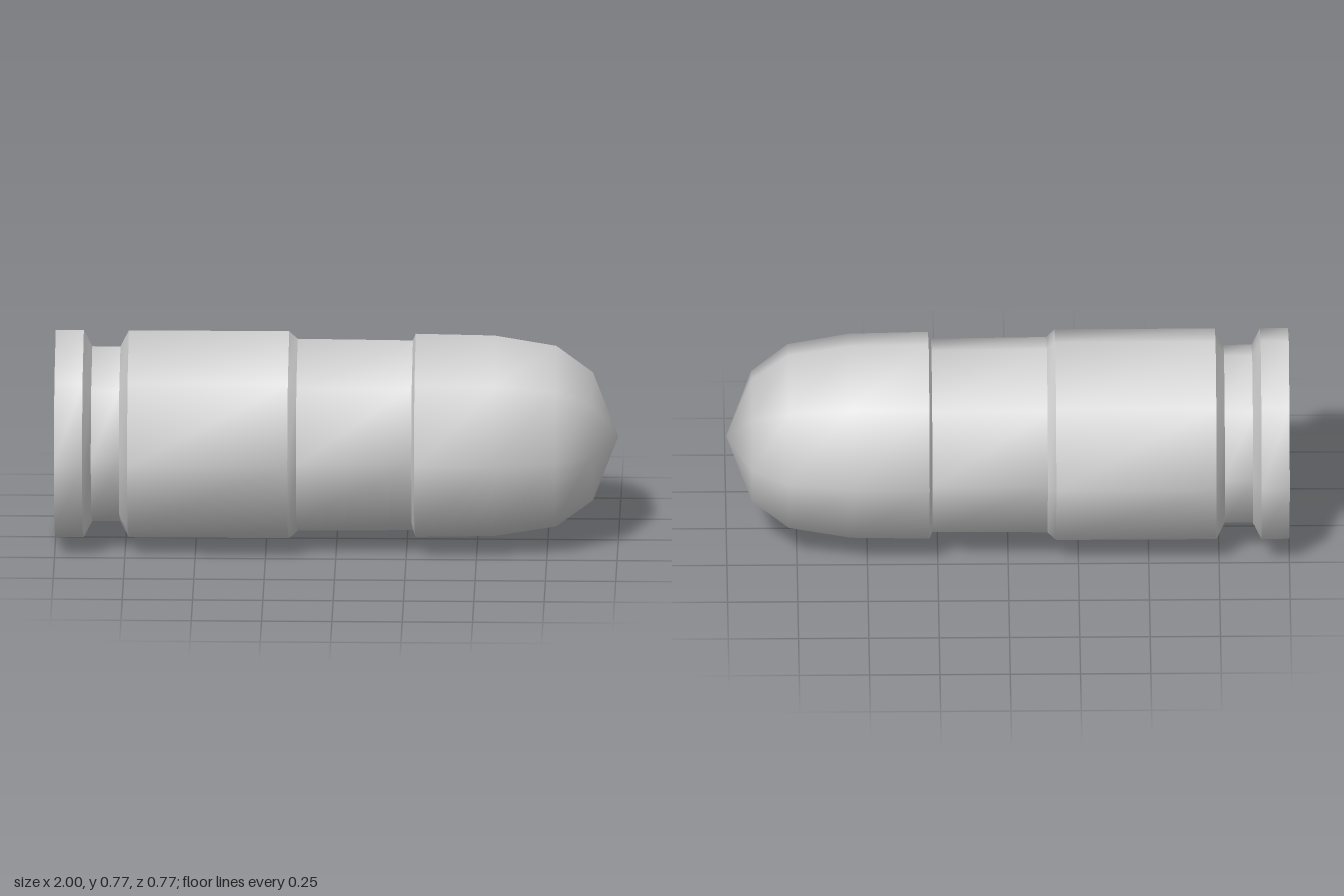
import * as THREE from 'three';
import { mergeVertices } from 'three/addons/utils/BufferGeometryUtils.js';

const SIDES = 8;
const RADIUS = 0.385;
const material = new THREE.MeshStandardMaterial({ color: 0xcccccc });

// Eight-sided turned band along x, smooth within itself; profile is [x, radius] pairs
function band(name, profile) {
  const points = profile.map(([x, r]) => new THREE.Vector2(r, x));
  let geometry = new THREE.LatheGeometry(points, SIDES);
  geometry.deleteAttribute('normal');
  geometry.deleteAttribute('uv');
  geometry = mergeVertices(geometry, 1e-5);
  geometry.computeVertexNormals();
  geometry.rotateZ(-Math.PI / 2);
  geometry.translate(0, RADIUS, 0);
  const mesh = new THREE.Mesh(geometry, material);
  mesh.name = name;
  return mesh;
}

// Sharp-edged outline: each segment becomes its own band
function turned(name, profile) {
  const group = new THREE.Group();
  group.name = name;
  for (let i = 0; i < profile.length - 1; i++) {
    group.add(band(`${name}Band${i + 1}`, [profile[i], profile[i + 1]]));
  }
  return group;
}

export function createModel() {
  const model = new THREE.Group();
  model.name = 'cartridge';

  // Flat base, rim, and extractor groove
  model.add(turned('rim', [
    [-1, 0], [-1, RADIUS], [-0.9, RADIUS], [-0.87, 0.325], [-0.77, 0.325], [-0.74, RADIUS],
  ]));

  // Casing body, shoulder, neck and mouth step
  model.add(turned('casing', [
    [-0.74, RADIUS], [-0.17, RADIUS], [-0.14, 0.357], [0.27, 0.353], [0.28, 0.378],
  ]));

  // Rounded nose
  model.add(band('nose', [
    [0.28, 0.378], [0.56, 0.373], [0.78, 0.336], [0.91, 0.238], [1, 0],
  ]));

  return model;
}
